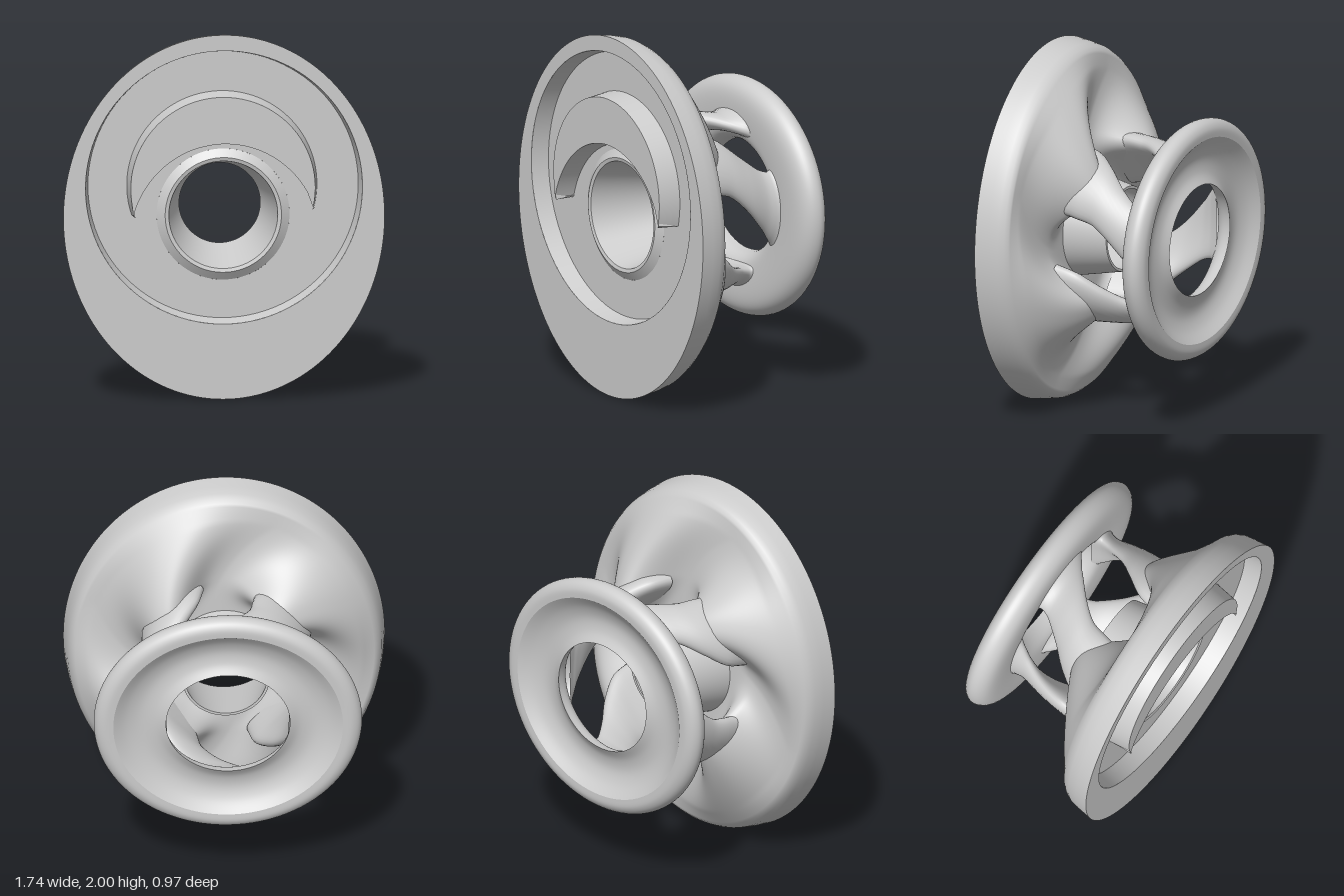
import * as THREE from 'three';
import { toCreasedNormals } from 'three/addons/utils/BufferGeometryUtils.js';

const material = new THREE.MeshStandardMaterial({ color: 0xcccccc, side: THREE.DoubleSide });
const RX = 0.87, RY = 1; // plate half axes
const FRONT = 0.46, FLOOR = 0.36; // plate face and recess floor
const RECESS_Y = 0.163; // recess centre above the bore axis
const TAU = Math.PI * 2;

function add(parent, name, geometry) {
  const mesh = new THREE.Mesh(geometry, material);
  mesh.name = name;
  parent.add(mesh);
  return mesh;
}

// Joins rows of points, each a closed loop, into a smooth skin
function loft(rows) {
  const n = rows[0].length, index = [];
  for (let i = 0; i < rows.length - 1; i++) {
    for (let j = 0; j < n; j++) {
      const a = i * n + j, b = i * n + (j + 1) % n;
      index.push(a, a + n, b, b, a + n, b + n);
    }
  }
  const g = new THREE.BufferGeometry().setFromPoints(rows.flat());
  g.setIndex(index);
  g.computeVertexNormals();
  return g;
}

// Lathe about the z axis from [radius, z] pairs
function latheZ(points, segments = 96) {
  return new THREE.LatheGeometry(points.map(([r, z]) => new THREE.Vector2(r, z)), segments).rotateX(Math.PI / 2);
}

// Smooth profile through [radius, z] pairs
function smooth(points, count) {
  const curve = new THREE.SplineCurve(points.map(p => new THREE.Vector2(...p)));
  return curve.getPoints(count).map(p => [p.x, p.y]);
}

// Back of the plate: a dish with four swirling ridges that lead into the struts
function plateBack() {
  const N = 192, inner = 0.27, rows = [];
  const ring = (u, zAt) => Array.from({ length: N }, (_, j) => {
    const t = j / N * TAU;
    return new THREE.Vector3(
      Math.cos(t) * (inner + (RX - inner) * u),
      Math.sin(t) * (inner + (RY - inner) * u), zAt(t));
  });
  for (const [u, z] of [[1, 0.46], [0.985, 0.385], [0.968, 0.33], [0.945, 0.3]]) rows.push(ring(u, () => z));
  for (let i = 0; i <= 44; i++) {
    const u = 0.92 * (1 - i / 44);
    const height = 0.26 * (u < 0.3
      ? Math.exp(-(((u - 0.3) / 0.12) ** 2))
      : 1 - ((u - 0.3) / 0.63) ** 1.2);
    const centre = THREE.MathUtils.degToRad(Math.min(66, 28 + 48 * u));
    const width = 0.39 + 0.12 * u;
    rows.push(ring(u, t => {
      const quarter = Math.PI / 2;
      let d = (t - centre) % quarter;
      d -= Math.round(d / quarter) * quarter;
      return 0.24 + 0.05 * u * u - height * Math.exp(-(Math.abs(d / width) ** 2.6));
    }));
  }
  return loft(rows);
}

// Swept strut: z, angle, radius, half width along the arc, half thickness
function strutGeometry() {
  const keys = [
    [0.2, 48, 0.47, 0.22, 0.085],
    [0.08, 45, 0.475, 0.215, 0.075],
    [-0.03, 38, 0.465, 0.18, 0.066],
    [-0.15, 24, 0.445, 0.16, 0.055],
    [-0.26, 10, 0.425, 0.17, 0.05],
    [-0.32, 3, 0.425, 0.2, 0.06],
    [-0.37, 0, 0.435, 0.26, 0.09],
  ];
  const place = new THREE.CatmullRomCurve3(keys.map(k => new THREE.Vector3(k[0], k[1] / 100, k[2])));
  const size = new THREE.CatmullRomCurve3(keys.map(k => new THREE.Vector3(k[3], k[4], 0)));
  const rows = [];
  for (let i = 0; i <= 36; i++) {
    const p = place.getPoint(i / 36), s = size.getPoint(i / 36);
    const angle = THREE.MathUtils.degToRad(p.y * 100);
    rows.push(Array.from({ length: 32 }, (_, j) => {
      const a = j / 32 * TAU;
      const r = p.z + s.y * Math.cos(a);
      const t = angle + s.x / p.z * Math.sin(a);
      return new THREE.Vector3(r * Math.cos(t), r * Math.sin(t), p.x);
    }));
  }
  return loft(rows);
}

// Raised crescent between two arcs, its walls slightly tapered
function crescentGeometry() {
  const cOut = RECESS_Y, cIn = -0.13, r = 0.515;
  const tip = Math.asin((cIn - cOut) / 2 / r);
  const shape = new THREE.Shape();
  shape.absarc(0, cOut, r, tip, Math.PI - tip, false);
  shape.absarc(0, cIn, r, Math.PI + tip, -tip, true);
  const g = new THREE.ExtrudeGeometry(shape, { depth: 0.485 - FLOOR, bevelEnabled: false, curveSegments: 64 });
  const p = g.attributes.position;
  for (let i = 0; i < p.count; i++) {
    if (p.getZ(i) < 0.01) continue;
    const x = p.getX(i), y = p.getY(i);
    const outer = Math.abs(Math.hypot(x, y - cOut) - r) < 0.001;
    const c = outer ? cOut : cIn, k = outer ? 0.97 : 1.04;
    p.setXY(i, x * (outer ? k : 1), c + (y - c) * k);
  }
  return toCreasedNormals(g, 0.5).rotateZ(0.04).translate(0, 0, FLOOR);
}

export function createModel() {
  const group = new THREE.Group();
  const body = new THREE.Group();
  body.name = 'body';
  body.position.y = 1;
  group.add(body);

  // Oval plate with an offset round recess
  add(body, 'plateBack', plateBack());
  const face = new THREE.Shape();
  face.absellipse(0, 0, RX, RY, 0, TAU);
  face.holes.push(new THREE.Path().absarc(0, RECESS_Y, 0.75, 0, TAU, true));
  add(body, 'plateFace', new THREE.ShapeGeometry(face, 96)).position.z = FRONT;
  add(body, 'recessWall', latheZ([[0.732, FLOOR], [0.75, FRONT]])).position.y = RECESS_Y;
  const floor = new THREE.Shape();
  floor.absarc(0, RECESS_Y, 0.732, 0, TAU);
  floor.holes.push(new THREE.Path().absarc(0, 0, 0.36, 0, TAU, true));
  add(body, 'recessFloor', new THREE.ShapeGeometry(floor, 96)).position.z = FLOOR;
  add(body, 'crescent', crescentGeometry());

  // Bore with a low raised collar and a tapering sleeve behind the plate
  const sleeve = [[0.285, 0.24], [0.235, 0], [0.22, 0], [0.295, 0.385], [0.315, 0.39], [0.36, FLOOR]];
  add(body, 'boreSleeve', toCreasedNormals(latheZ(sleeve), 0.4));

  // Four twisted struts, set on a slightly narrow oval
  const struts = new THREE.Group();
  struts.name = 'struts';
  struts.scale.x = 0.96;
  body.add(struts);
  const strut = strutGeometry();
  for (let i = 0; i < 4; i++) add(struts, 'strut' + (i + 1), strut).rotation.z = i * Math.PI / 2;

  // Rounded back ring, slightly wider than tall, with a hollow around its hole
  const rim = smooth([
    [0.305, -0.45], [0.318, -0.39], [0.36, -0.345], [0.44, -0.33], [0.54, -0.328], [0.605, -0.342],
    [0.645, -0.375], [0.66, -0.42], [0.645, -0.458], [0.61, -0.479], [0.565, -0.48],
  ], 48);
  const hollow = smooth([[0.565, -0.48], [0.5, -0.435], [0.43, -0.412], [0.36, -0.42], [0.305, -0.45]], 20);
  const ring = new THREE.Group();
  ring.name = 'backRing';
  ring.scale.x = 1.1;
  add(ring, 'ringRim', latheZ(rim.reverse()));
  add(ring, 'ringHollow', latheZ(hollow.reverse()));
  body.add(ring);

  return group;
}
